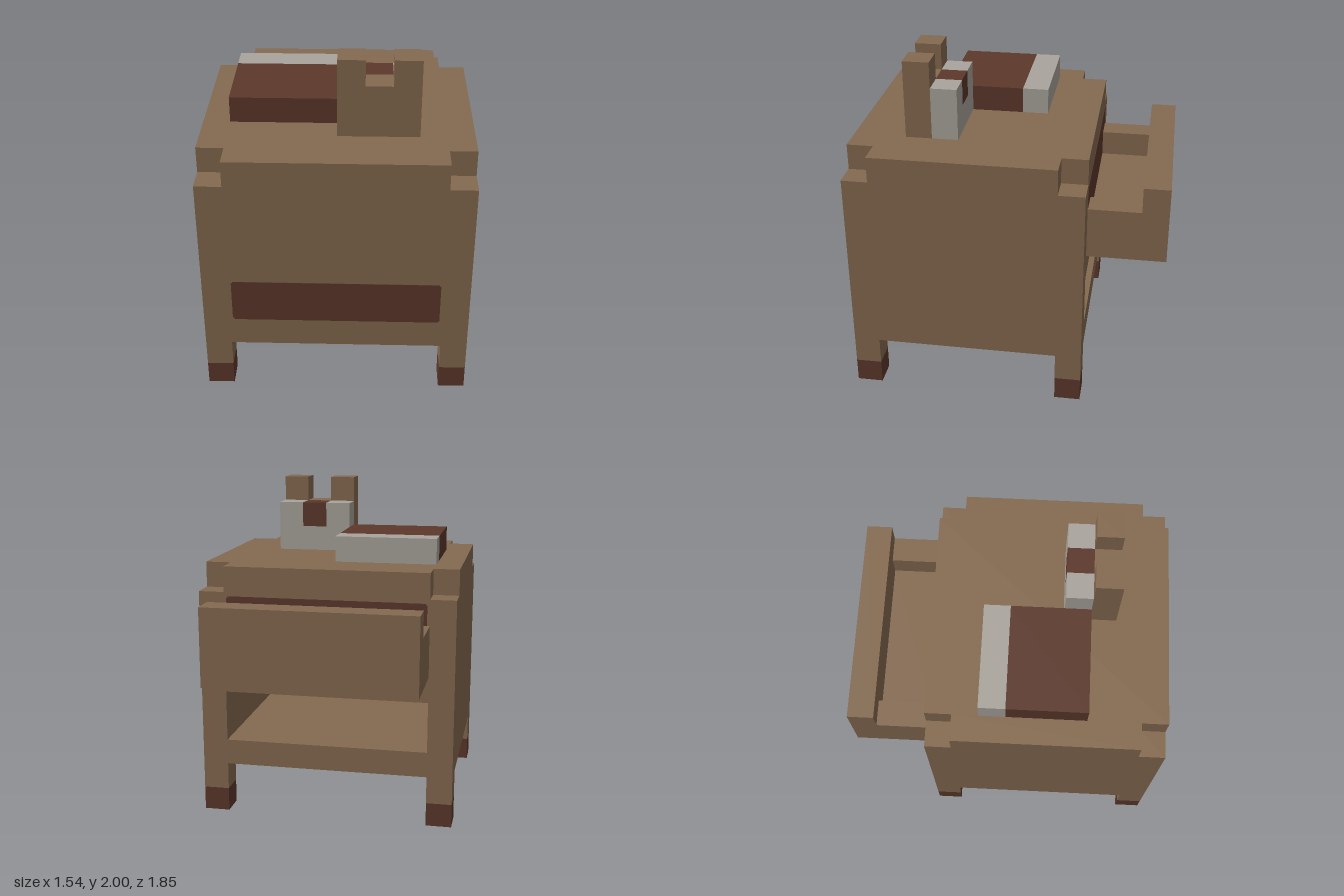
import * as THREE from 'three';

const U = 2 / 13; // all parts sit on a grid of this size

export function createModel() {
  const wood = new THREE.MeshStandardMaterial({ color: 0x84694f });
  wood.name = 'wood';
  const darkRed = new THREE.MeshStandardMaterial({ color: 0x5c382b });
  darkRed.name = 'darkRed';
  const paper = new THREE.MeshStandardMaterial({ color: 0xa9a49c });
  paper.name = 'paper';

  const model = new THREE.Group();
  model.name = 'bedsideCabinet';

  const group = (name) => {
    const g = new THREE.Group();
    g.name = name;
    model.add(g);
    return g;
  };

  // Box from its min and max corners, in grid units
  const box = (parent, name, material, [x0, y0, z0], [x1, y1, z1]) => {
    const geometry = new THREE.BoxGeometry((x1 - x0) * U, (y1 - y0) * U, (z1 - z0) * U);
    const mesh = new THREE.Mesh(geometry, material);
    mesh.name = name;
    mesh.position.set((x0 + x1) / 2 * U, (y0 + y1) / 2 * U, (z0 + z1) / 2 * U);
    parent.add(mesh);
  };

  // Cabinet body, with an open shelf at the back
  const body = group('body');
  box(body, 'bottomBoard', wood, [-5, 2, -3], [5, 3, 6]);
  box(body, 'frontWall', wood, [-5, 3, 5], [5, 5, 6]);
  for (const s of [-1, 1]) {
    box(body, 'sideWall', wood, [s * 4.5 - 0.5, 3, -3], [s * 4.5 + 0.5, 5, 5]);
  }
  box(body, 'upperBody', wood, [-5, 5, -3], [5, 9, 6]);

  // Top board with its four corners cut out
  const top = group('topBoard');
  box(top, 'topCentre', wood, [-4, 9, -3], [4, 10, 6]);
  for (const s of [-1, 1]) {
    box(top, 'topSide', wood, [s * 4.5 - 0.5, 9, -2], [s * 4.5 + 0.5, 10, 5]);
  }

  // Legs with dark feet
  const legs = group('legs');
  const footTop = 0.93;
  for (const x of [-5, 4]) {
    for (const z of [-3, 5]) {
      box(legs, 'foot', darkRed, [x, 0, z], [x + 1, footTop, z + 1]);
      box(legs, 'leg', wood, [x, footTop, z], [x + 1, 2, z + 1]);
    }
  }

  // Thin painted panels with clipped corners
  const panel = (name, y0, y1, z) => {
    const g = group(name);
    box(g, 'panelMiddle', darkRed, [-3.85, y0, z - 0.015], [3.85, y1, z + 0.015]);
    for (const s of [-1, 1]) {
      box(g, 'panelEnd', darkRed, [s * 3.85 - 0.05, y0 + 0.06, z - 0.014], [s * 3.85 + 0.05, y1 - 0.06, z + 0.014]);
    }
  };
  panel('frontPanel', 3.14, 4.88, 6);
  panel('backPanel', 7, 8.84, -3);

  // Open drawer at the back
  const drawer = group('drawer');
  box(drawer, 'drawerFace', wood, [-4, 6, -6], [4, 9, -5]);
  box(drawer, 'drawerFloor', wood, [-3, 6, -5], [3, 7, -3]);
  for (const s of [-1, 1]) {
    box(drawer, 'drawerSide', wood, [s * 3.5 - 0.5, 6, -5], [s * 3.5 + 0.5, 8, -3]);
  }

  // Book lying on the top
  const book = group('book');
  box(book, 'bookCover', darkRed, [-4, 10, 0], [0, 11, 3]);
  box(book, 'bookPages', paper, [-4, 10, -1], [0, 11, 0]);

  // Pronged stand with a pale block behind it
  const stand = group('stand');
  box(stand, 'standBoard', wood, [0, 10, 3], [3, 12, 4]);
  for (const x of [0, 2]) {
    box(stand, 'standProng', wood, [x, 12, 3], [x + 1, 13, 4]);
    box(stand, 'paleBlockSide', paper, [x, 11, 2], [x + 1, 12, 3]);
  }
  box(stand, 'paleBlockBase', paper, [0, 10, 2], [3, 11, 3]);
  box(stand, 'blockStripe', darkRed, [1, 11, 2], [2, 12, 3]);

  return model;
}
